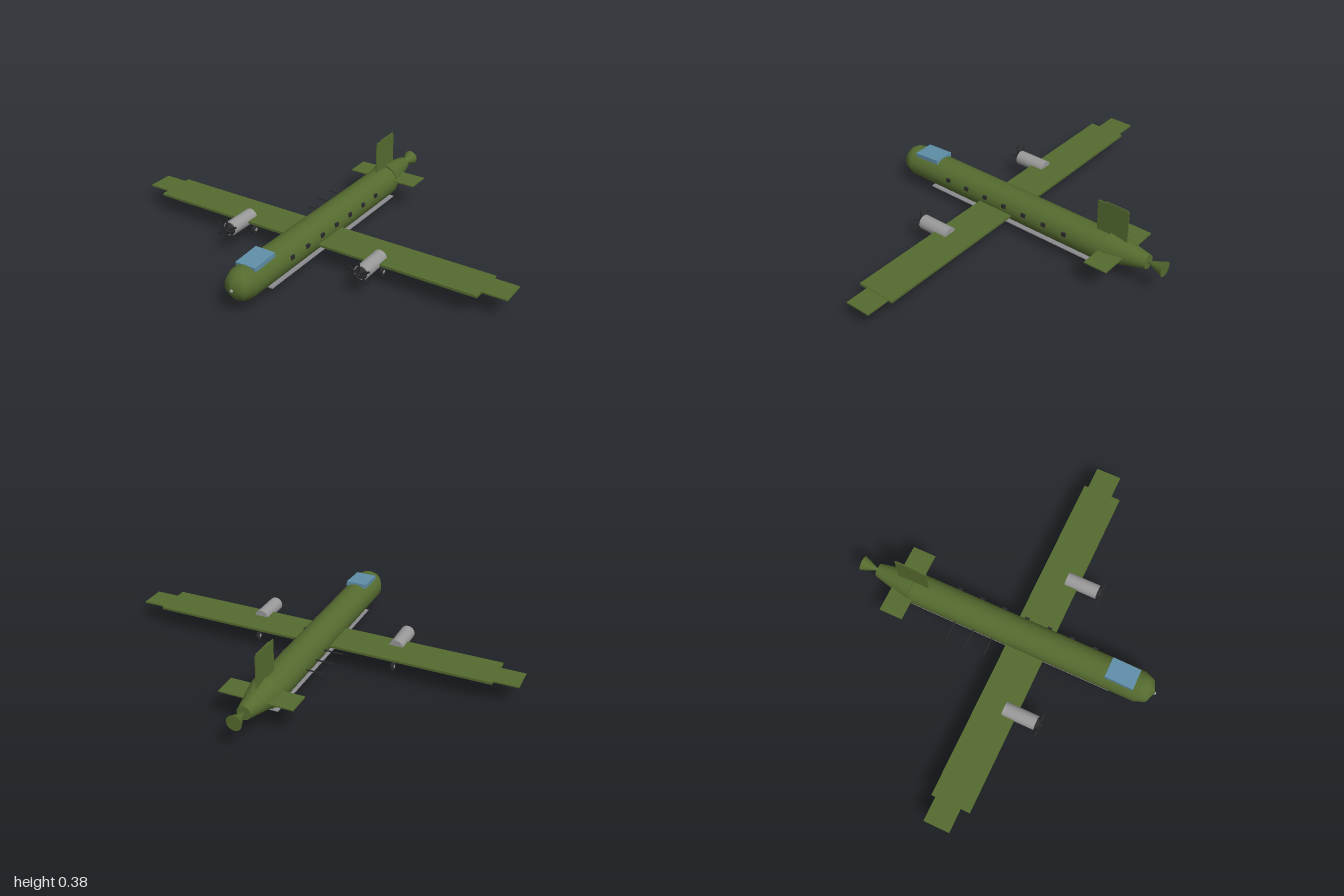
import * as THREE from 'three';

const mat = (color) => new THREE.MeshStandardMaterial({ color });

export function createModel() {
  const olive = mat(0x556b2f), grey = mat(0x999999), dark = mat(0x2b2b2d);
  const glass = mat(0x5f8fa8), plate = mat(0x8c8c90);
  const root = new THREE.Group();

  const add = (name, geo, material, x, y, z, parent = root) => {
    const m = new THREE.Mesh(geo, material);
    m.name = name;
    m.position.set(x, y, z);
    parent.add(m);
    return m;
  };
  const box = (w, h, d) => new THREE.BoxGeometry(w, h, d);
  // cylinder lying along z
  const tube = (rFront, rBack, len, seg = 24) =>
    new THREE.CylinderGeometry(rFront, rBack, len, seg).rotateX(Math.PI / 2);

  // Fuselage and nose
  const R = 0.078, cy = 0.132;
  add('fuselage', tube(R, R, 1.2), olive, 0, cy, 0.1);
  add('nose', new THREE.SphereGeometry(R, 8, 16), olive, 0, cy, 0.7);
  add('noseTip', new THREE.SphereGeometry(0.008, 10, 8), grey, 0, cy, 0.777);

  // Tail cone, rising slightly, and flared tail end
  add('tailCone', tube(R, 0.034, 0.2), olive, 0, 0.1465, -0.6).rotation.x = 0.045;
  add('tailFlare', tube(0.004, 0.038, 0.085, 16), olive, 0, 0.152, -0.7425);

  // Canopy
  add('canopy', box(0.105, 0.023, 0.145), glass, 0, 0.2025, 0.604).rotation.x = 0.06;

  // Belly plate and tail bumper
  add('bellyPlate', box(0.12, 0.005, 1.07), plate, 0, 0.055, 0.035);
  add('tailBumper', new THREE.SphereGeometry(0.007, 10, 8), dark, 0, 0.054, -0.468);

  // Tail surfaces
  add('fin', box(0.006, 0.187, 0.165), olive, 0, 0.2735, -0.5);
  add('finTip', box(0.004, 0.012, 0.118), olive, 0, 0.369, -0.516);
  add('tailplane', box(0.368, 0.006, 0.12), olive, 0, 0.152, -0.537);

  // Wing with narrower tips
  const wy = 0.114;
  add('wing', box(1.76, 0.012, 0.196), olive, 0, wy, 0.13);
  for (const s of [-1, 1]) add('wingTip', box(0.13, 0.007, 0.13), olive, s * 0.935, wy, 0.117);

  // Cabin windows along the left side
  for (let i = 0; i < 7; i++)
    add('window', box(0.012, 0.018, 0.023), dark, 0.0755, 0.153, 0.435 - i * 0.12);

  // Aerials along the right side
  for (let i = 0; i < 3; i++)
    add('aerial', box(0.1, 0.005, 0.005), dark, -0.125, 0.133, -0.04 - i * 0.1);

  // Engine, propeller and main wheel on each wing
  for (const s of [-1, 1]) {
    const unit = new THREE.Group();
    unit.name = s > 0 ? 'leftEngine' : 'rightEngine';
    unit.position.set(s * 0.367, 0, 0);
    root.add(unit);
    add('nacelle', tube(0.036, 0.036, 0.166), grey, 0, wy, 0.244, unit);
    add('propellerHub', tube(0.02, 0.031, 0.014, 16), dark, 0, wy, 0.334, unit);
    add('spinner', tube(0.002, 0.018, 0.016, 16), dark, 0, wy, 0.349, unit);
    for (let i = 0; i < 3; i++)
      add('bladePair', box(0.009, 0.128, 0.004), dark, 0, wy, 0.347, unit).rotation.z = i * Math.PI / 3;

    add('strut', box(0.007, 0.09, 0.007), dark, 0, 0.068, 0.133, unit);
    add('wheel', new THREE.CylinderGeometry(0.022, 0.022, 0.012, 16).rotateZ(Math.PI / 2),
      dark, 0, 0.022, 0.133, unit);
    add('wheelHub', new THREE.CylinderGeometry(0.009, 0.009, 0.014, 12).rotateZ(Math.PI / 2),
      grey, 0, 0.022, 0.133, unit);
  }
  return root;
}
